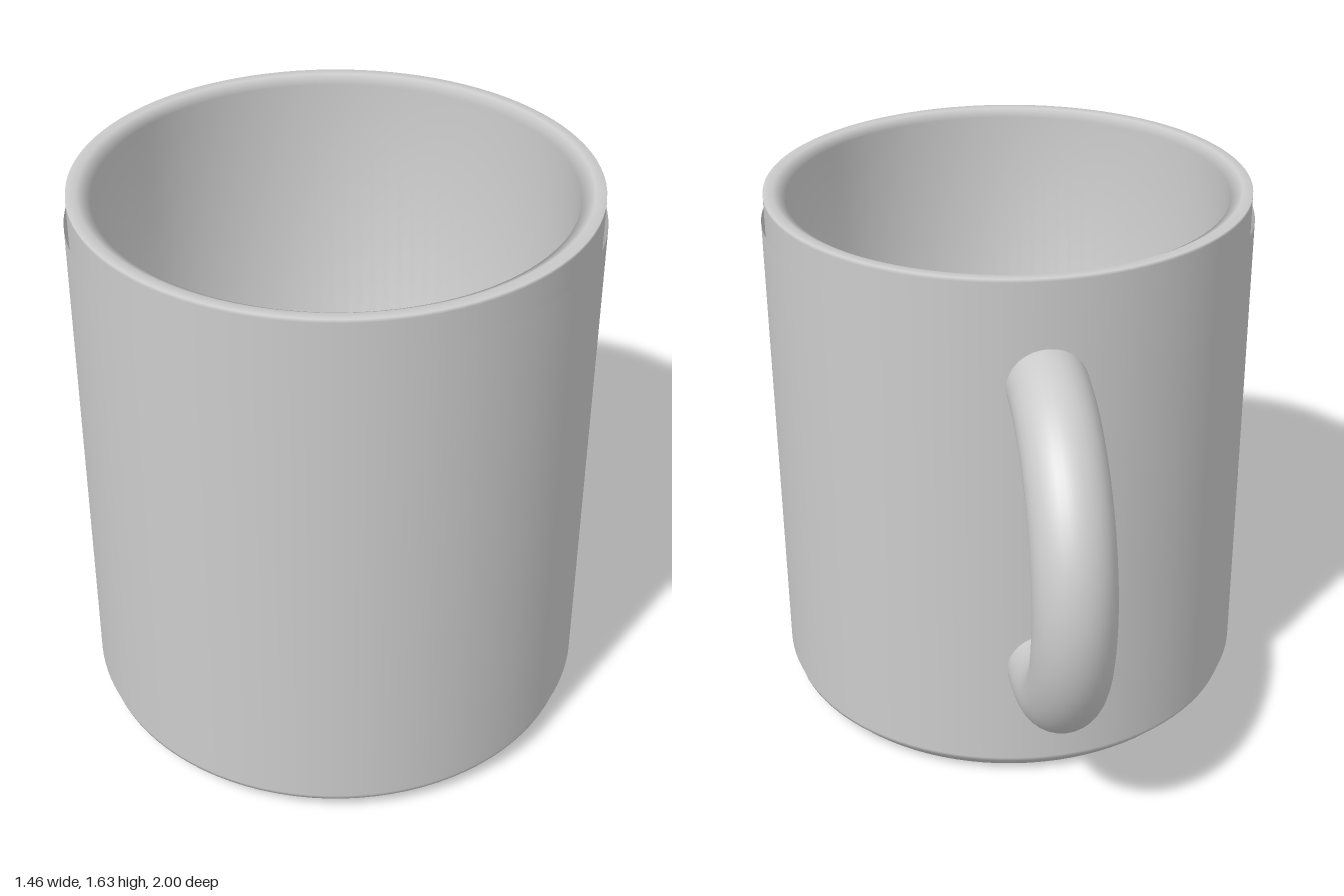
import * as THREE from 'three';

const CENTRE_Z = 0.27; // axis of the cup, shifted forward to balance the handle

export function createModel() {
  const group = new THREE.Group();
  group.name = 'mug';
  const grey = new THREE.MeshStandardMaterial({ color: 0xcccccc });

  const add = (name, geometry, material = grey) => {
    const mesh = new THREE.Mesh(geometry, material);
    mesh.name = name;
    group.add(mesh);
    return mesh;
  };

  // Cup: closed profile from the underside, up the wall, over the rim and down inside
  const profile = [
    [0, 0], [0.66, 0], [0.68, 0.008], [0.715, 0.045], [0.72, 0.06],
    [0.72, 1.625], [0.72, 1.635], [0.69, 1.635], [0.655, 1.615],
    [0.655, 0.07], [0, 0.07],
  ].map(([r, y]) => new THREE.Vector2(r, y));
  add('cup', new THREE.LatheGeometry(profile, 96)).position.z = CENTRE_Z;

  // Sleeve: thin band wrapped round the front three quarters of the wall
  const bottom = 0.09, top = 1.55;
  const sleeve = add(
    'sleeve',
    new THREE.CylinderGeometry(0.73, 0.73, top - bottom, 96, 1, true, -Math.PI * 0.747, Math.PI * 1.494),
    new THREE.MeshStandardMaterial({ color: 0xcccccc, side: THREE.DoubleSide })
  );
  sleeve.position.set(0, (bottom + top) / 2, CENTRE_Z);

  // Handle: half ring whose ends sink into the back wall
  const ring = new THREE.TorusGeometry(0.463, 0.114, 32, 64, Math.PI);
  ring.rotateZ(-Math.PI / 2).rotateY(Math.PI / 2);
  add('handle', ring).position.set(0, 0.853, -0.423);

  return group;
}
